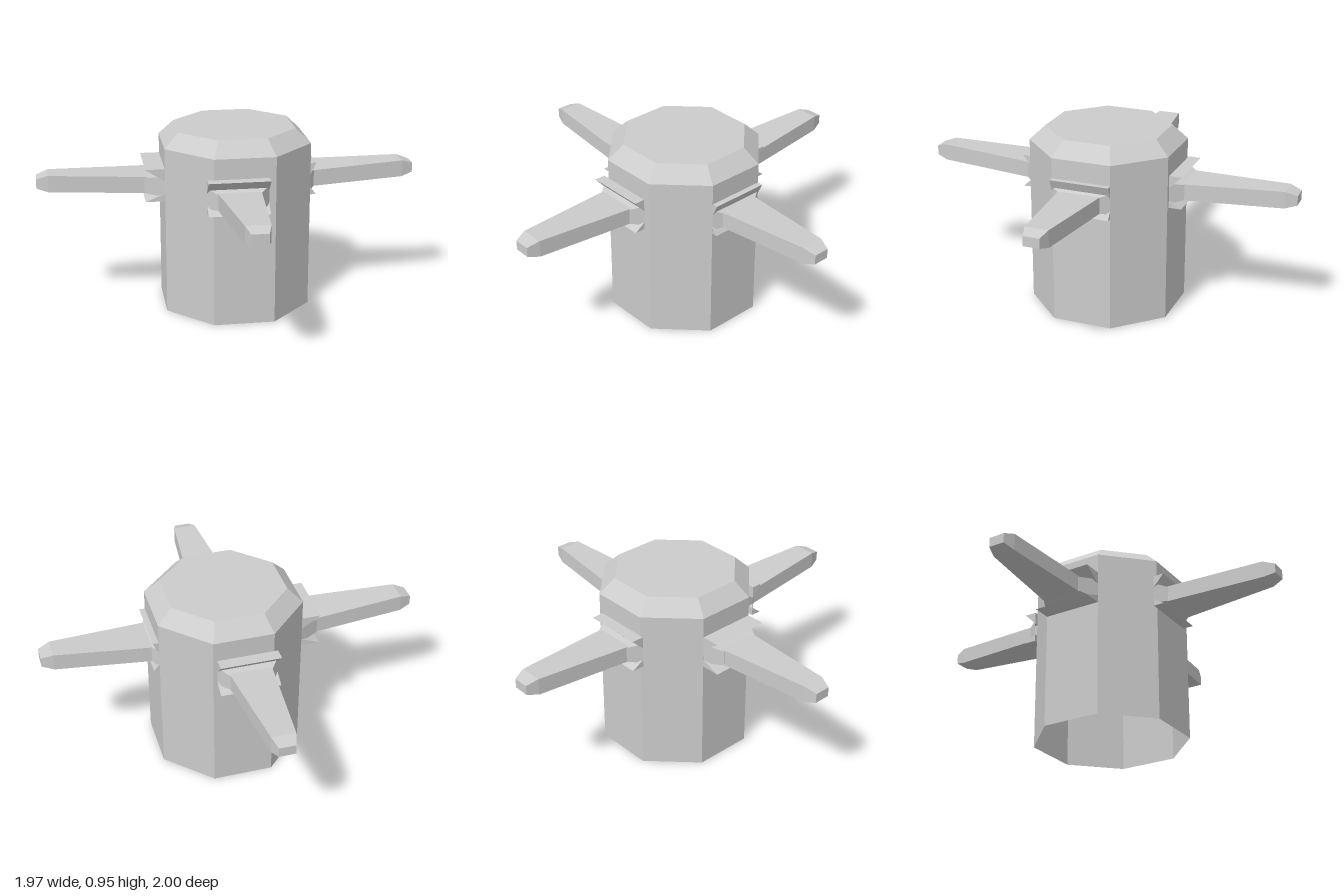
import * as THREE from 'three';

const material = new THREE.MeshStandardMaterial({
  color: 0xcccccc, flatShading: true, side: THREE.DoubleSide,
});

function part(name, geometry) {
  const mesh = new THREE.Mesh(geometry, material);
  mesh.name = name;
  return mesh;
}

// Rectangular loft along +z; each section is [z, halfWidth, bottom, top]
function loft(sections) {
  const rings = sections.map(([z, w, y0, y1]) =>
    [[-w, y0, z], [w, y0, z], [w, y1, z], [-w, y1, z]]);
  const pos = [];
  const quad = (a, b, c, d) => pos.push(...a, ...b, ...c, ...a, ...c, ...d);
  for (let k = 0; k < rings.length - 1; k++) {
    const a = rings[k], b = rings[k + 1];
    for (let i = 0; i < 4; i++) {
      const j = (i + 1) % 4;
      quad(a[i], a[j], b[j], b[i]);
    }
  }
  quad(...rings[rings.length - 1]);
  const geometry = new THREE.BufferGeometry();
  geometry.setAttribute('position', new THREE.Float32BufferAttribute(pos, 3));
  geometry.computeVertexNormals();
  return geometry;
}

// Wedge-shaped lip: flat outside, sloping back to the blade on the inside
function lip(wall, reach, outerY, innerY) {
  const shape = new THREE.Shape([
    new THREE.Vector2(wall, outerY),
    new THREE.Vector2(reach, outerY),
    new THREE.Vector2(wall, innerY),
  ]);
  const geometry = new THREE.ExtrudeGeometry(shape, { depth: 0.31, bevelEnabled: false });
  geometry.translate(0, 0, -0.155);
  geometry.rotateY(-Math.PI / 2);
  return geometry;
}

// Blade with its collar, pointing along +z before it is turned into place
function makeArm(name, wall, reach, tip) {
  const arm = new THREE.Group();
  arm.name = name;
  arm.add(
    part('blade', loft([
      [wall, 0.113, 0.635, 0.72],
      [tip - 0.06, 0.06, 0.65, 0.737],
      [tip, 0.042, 0.667, 0.717],
    ])),
    part('collarSides', loft([
      [wall, 0.155, 0.625, 0.735],
      [reach, 0.107, 0.638, 0.718],
    ])),
    part('upperLip', lip(wall, reach, 0.775, 0.71)),
    part('lowerLip', lip(wall, reach, 0.605, 0.645)),
  );
  return arm;
}

export function createModel() {
  const model = new THREE.Group();
  model.name = 'bladedPost';

  // Hollow octagonal body with a bevelled top, open underneath
  const k = 1 / Math.cos(Math.PI / 8);
  const profile = [[0.375, 0], [0.375, 0.88], [0.3, 0.955], [0, 0.955]]
    .map(([r, y]) => new THREE.Vector2(r * k, y));
  const body = part('body', new THREE.LatheGeometry(profile, 8));
  body.rotation.y = Math.PI / 8;
  body.position.x = 0.035;
  model.add(body);

  // Four arms: name, quarter turns, sideways offset in x, wall, lip reach, tip
  const arms = [
    ['frontArm', 0, 0, 0.375, 0.432, 1],
    ['leftArm', 1, 0, 0.41, 0.44, 0.985],
    ['backArm', 2, 0.015, 0.375, 0.44, 1],
    ['rightArm', 3, 0, 0.34, 0.44, 0.985],
  ];
  for (const [name, turns, x, wall, reach, tip] of arms) {
    const arm = makeArm(name, wall, reach, tip);
    arm.rotation.y = turns * Math.PI / 2;
    arm.position.x = x;
    model.add(arm);
  }
  return model;
}
